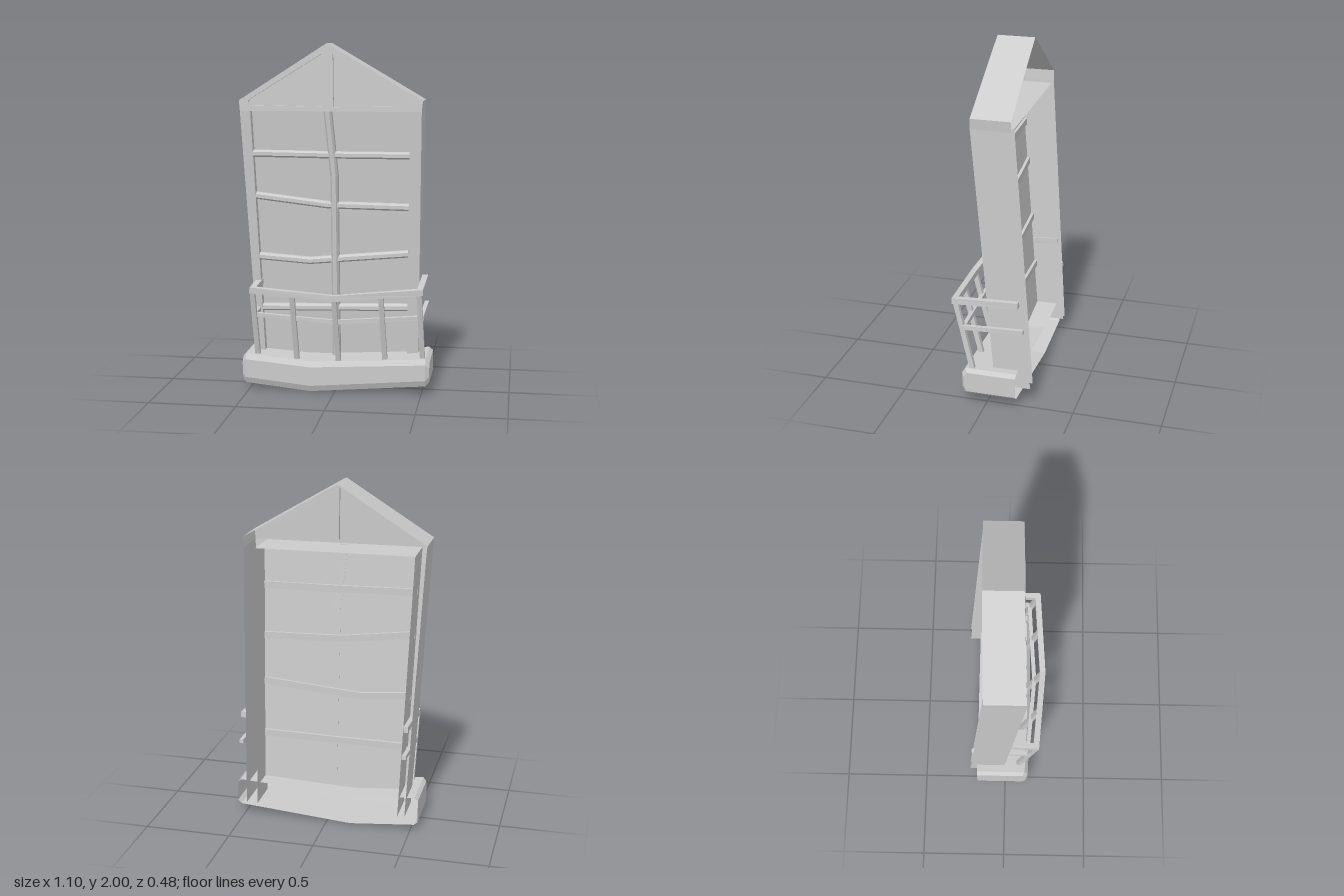
import * as THREE from 'three';

const material = new THREE.MeshStandardMaterial({ color: 0xcccccc, flatShading: true, side: THREE.DoubleSide });
const V = (x, y, z) => new THREE.Vector3(x, y, z);

// The window leans back below the gable and is turned very slightly.
const BEND = 1.62, FOOT = 0.1;
const frontZ = (x, y) => 0.102 - 0.024 * x - (y > BEND ? (y - BEND) * 0.03 : (BEND - y) * 0.083);
const backZ = (x, y) => -0.125 - 0.024 * x - Math.max(0, BEND - y) * 0.07;
const innerLeft = y => -0.485 + 0.036 * (BEND - y);
const innerRight = y => 0.42 - 0.01 * (BEND - y);

function addMesh(parent, name, geometry) {
  const mesh = new THREE.Mesh(geometry, material);
  mesh.name = name;
  parent.add(mesh);
  return mesh;
}

// Skin a row of cross-sections, optionally closed around and capped.
function loft(rings, closed = true, caps = true) {
  const pos = [];
  const tri = (...pts) => pts.forEach(p => pos.push(p.x, p.y, p.z));
  const n = rings[0].length;
  for (let r = 0; r < rings.length - 1; r++) {
    const a = rings[r], b = rings[r + 1];
    for (let i = 0; i < (closed ? n : n - 1); i++) {
      const j = (i + 1) % n;
      tri(a[i], a[j], b[j]);
      tri(a[i], b[j], b[i]);
    }
  }
  if (caps) {
    const a = rings[0], b = rings[rings.length - 1];
    for (let i = 1; i < n - 1; i++) {
      tri(a[0], a[i + 1], a[i]);
      tri(b[0], b[i], b[i + 1]);
    }
  }
  const g = new THREE.BufferGeometry();
  g.setAttribute('position', new THREE.Float32BufferAttribute(pos, 3));
  g.computeVertexNormals();
  return g;
}

// Sweep a section along a polyline with mitred corners.
function bar(path, section, up) {
  const rings = path.map((p, k) => {
    const before = p.clone().sub(path[Math.max(k - 1, 0)]).normalize();
    const after = path[Math.min(k + 1, path.length - 1)].clone().sub(p).normalize();
    const t = before.clone().add(after).normalize();
    const mitre = 1 / Math.max(0.5, t.dot(k ? before : after));
    const side = up.clone().cross(t).normalize();
    const out = t.clone().cross(side);
    return section.map(([s, o]) => p.clone().addScaledVector(side, s * mitre).addScaledVector(out, o));
  });
  return loft(rings);
}

const square = w => [[-w, -w], [w, -w], [w, w], [-w, w]];
const muntinSection = (w, back, front) =>
  [[-w, back], [w, back], [w, front - 0.018], [w * 0.5, front], [-w * 0.5, front], [-w, front - 0.018]];

// Flat outline pushed onto the sloping front, set back by an inset.
function plate(points, holes = [], inset = 0) {
  const shape = new THREE.Shape(points.map(p => new THREE.Vector2(...p)));
  holes.forEach(h => shape.holes.push(new THREE.Path(h.map(p => new THREE.Vector2(...p)))));
  const g = new THREE.ShapeGeometry(shape);
  const pos = g.attributes.position;
  for (let i = 0; i < pos.count; i++) {
    pos.setZ(i, frontZ(pos.getX(i), pos.getY(i)) - inset);
  }
  g.computeVertexNormals();
  return g;
}

// Wall running back from the front along an outline.
const wall = (points, depthZ, closed = false) => loft([
  points.map(([x, y]) => V(x, y, frontZ(x, y))),
  points.map(([x, y]) => V(x, y, depthZ(x, y)))
], closed, false);

function buildFrame() {
  const frame = new THREE.Group();
  frame.name = 'windowFrame';
  const L = [-0.545, BEND], R = [0.487, BEND];
  const footL = [-0.472, FOOT], footR = [0.47, FOOT];
  const shoulderL = [-0.55, 1.68], shoulderR = [0.493, 1.68], apex = [-0.05, 2];
  const inTopL = [innerLeft(BEND), BEND], inTopR = [innerRight(BEND), BEND];
  const inFootL = [innerLeft(FOOT), FOOT], inFootR = [innerRight(FOOT), FOOT];

  addMesh(frame, 'outerCasing', wall([footL, L, shoulderL, apex, shoulderR, R, footR], backZ));
  addMesh(frame, 'innerLining', wall([inFootR, inTopR, inTopL, inFootL], backZ));
  addMesh(frame, 'leftFaceBoard', plate([inFootR, footR, R, inTopR]));
  addMesh(frame, 'rightFaceBoard', plate([footL, inFootL, inTopL, L]));

  // Gable with two triangular lights
  const lights = [
    [[-0.485, 1.652], [-0.075, 1.645], [-0.08, 1.94], [-0.49, 1.685], [-0.5, 1.668]],
    [[-0.01, 1.643], [0.415, 1.65], [0.44, 1.672], [0.425, 1.69], [-0.015, 1.94]]
  ];
  addMesh(frame, 'gableFace', plate([L, R, shoulderR, apex, shoulderL], lights));
  lights.forEach(light => {
    addMesh(frame, 'gableLightEdge', wall(light, (x, y) => frontZ(x, y) - 0.02, true));
    addMesh(frame, 'gablePane', plate(light, [], 0.02));
  });

  // Main glazing
  const base = 0.18;
  addMesh(frame, 'glass', plate([
    [innerLeft(base), base], [innerRight(base), base], inTopR, inTopL
  ], [], 0.045));
  return frame;
}

function buildMuntins() {
  const group = new THREE.Group();
  group.name = 'muntins';
  const onFront = ([x, y]) => V(x, y, frontZ(x, y));
  const upright = [[-0.012, 0.18], [-0.012, 1.25], [-0.045, BEND]];
  addMesh(group, 'verticalMuntin', bar(upright.map(onFront), muntinSection(0.022, -0.046, 0.008), V(0, 0, 1)));
  // left height, bend x, bend height, right height
  const rows = [
    [1.375, 0, 1.37, 1.37],
    [1.13, -0.05, 1.08, 1.072],
    [0.77, -0.16, 0.748, 0.8],
    [0.462, 0, 0.47, 0.48]
  ];
  for (const [yl, xm, ym, yr] of rows) {
    const path = [[innerLeft(yl), yl], [xm, ym], [innerRight(yr), yr]];
    addMesh(group, 'horizontalMuntin', bar(path.map(onFront), muntinSection(0.02, -0.06, 0), V(0, 0, 1)));
  }
  return group;
}

// Bowed balcony base with a chamfered front and an open back
function buildLedge() {
  const stations = [
    [-0.542, 0.19, 0.055, 0.128],
    [-0.522, 0.208, 0.037, 0.142],
    [-0.14, 0.177, 0.002, 0.153],
    [0.525, 0.212, 0.055, 0.142],
    [0.547, 0.193, 0.075, 0.128]
  ];
  return loft(stations.map(([x, top, bottom, z]) => [
    V(x, top, -0.175), V(x, top, z - 0.02), V(x, top - 0.03, z),
    V(x, bottom + 0.035, z), V(x, bottom, z - 0.015), V(x, bottom, -0.175)
  ]), false, true);
}

function buildRailing() {
  const group = new THREE.Group();
  group.name = 'railing';
  const up = V(0, 1, 0);
  addMesh(group, 'handrail', bar([
    V(-0.458, 0.625, -0.175), V(-0.465, 0.6, 0.185), V(0.01, 0.572, 0.22),
    V(0.496, 0.615, 0.185), V(0.496, 0.63, -0.18)
  ], square(0.017), up));
  addMesh(group, 'lowerRail', bar([
    V(-0.46, 0.465, -0.205), V(-0.468, 0.447, 0.135), V(0.01, 0.425, 0.172),
    V(0.502, 0.457, 0.135), V(0.505, 0.473, -0.21)
  ], square(0.012), up));
  // Posts lean outwards: foot x, top x, top height, forward bow
  const posts = [
    [-0.458, -0.468, 0.6, 0], [-0.225, -0.235, 0.585, 0.018], [0.022, 0.01, 0.572, 0.036],
    [0.29, 0.275, 0.593, 0.016], [0.506, 0.49, 0.612, 0]
  ];
  for (const [x0, x1, y1, bow] of posts) {
    addMesh(group, 'post', bar(
      [V(x0, 0.165, 0.075 + bow), V(x1, y1, 0.185 + bow)], square(0.014), V(0, 0, 1)));
  }
  return group;
}

export function createModel() {
  const model = new THREE.Group();
  model.name = 'balconyWindow';
  model.add(buildFrame(), buildMuntins(), buildRailing());
  addMesh(model, 'balconyLedge', buildLedge());
  return model;
}
